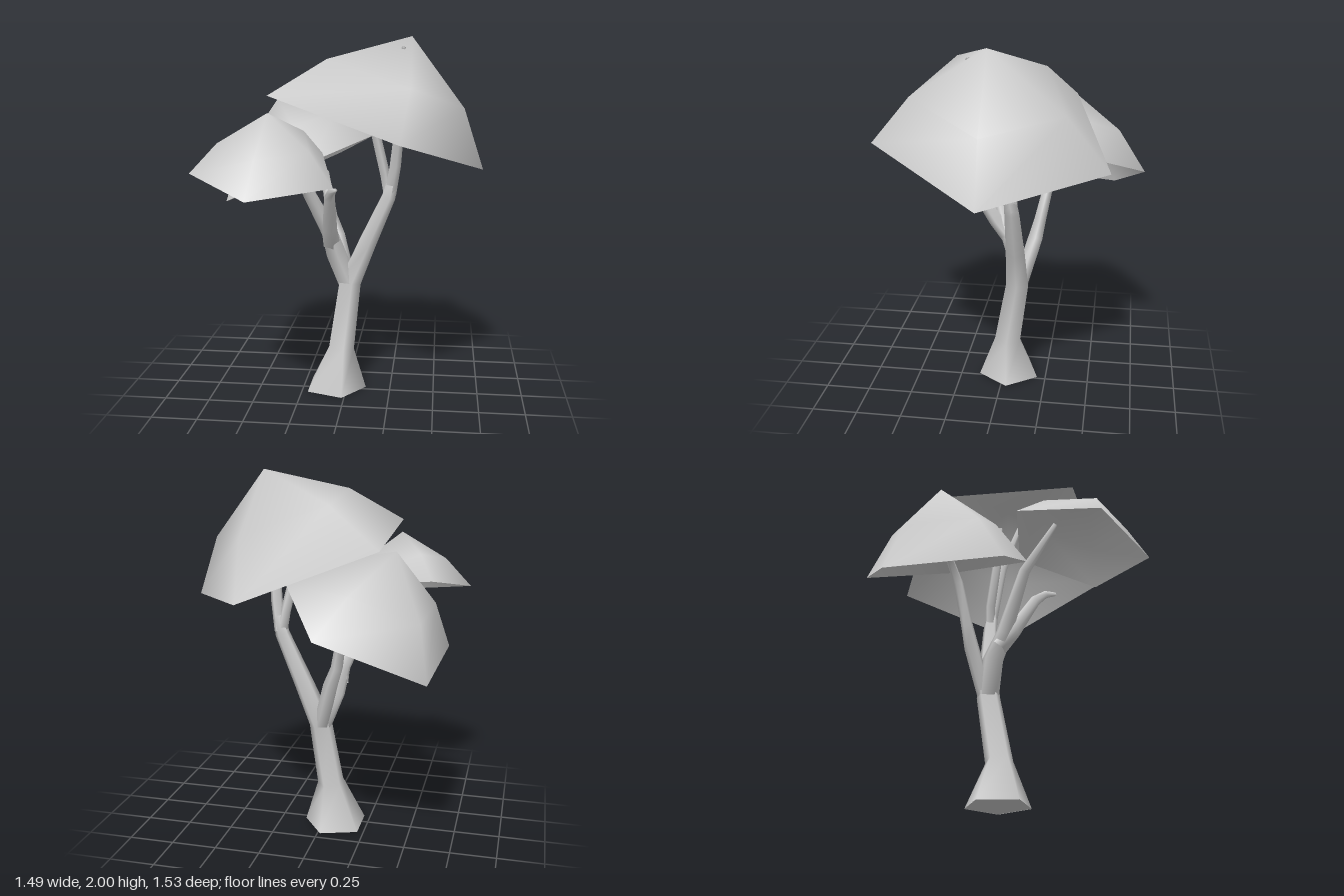
import * as THREE from 'three';

const V = (p) => new THREE.Vector3(p[0], p[1], p[2]);
const SIDES = 5;

function meshFrom(name, points, index) {
  const geo = new THREE.BufferGeometry().setFromPoints(points);
  geo.setIndex(index);
  geo.computeVertexNormals();
  const mat = new THREE.MeshStandardMaterial({ color: 0xcccccc, side: THREE.DoubleSide });
  const mesh = new THREE.Mesh(geo, mat);
  mesh.name = name;
  return mesh;
}

// Joins successive five-point rings into a skin, ending in a single tip point
function skin(rings, tip) {
  const points = rings.flat();
  const index = [];
  for (let r = 0; r < rings.length; r++) {
    for (let i = 0; i < SIDES; i++) {
      const a = r * SIDES + i, b = r * SIDES + (i + 1) % SIDES;
      if (r < rings.length - 1) index.push(a, b, b + SIDES, a, b + SIDES, a + SIDES);
      else index.push(a, b, points.length);
    }
  }
  return [[...points, tip], index];
}

// Open five-sided leaf dome: rim, one middle ring, apex
function canopy(name, rimPoints, apexPoint) {
  const rim = rimPoints.map(V);
  const apex = V(apexPoint);
  const center = new THREE.Vector3();
  rim.forEach((p) => center.addScaledVector(p, 1 / SIDES));
  const lift = apex.clone().sub(center).multiplyScalar(0.51);
  const ring = rim.map((p) => center.clone().lerp(p, 0.64).add(lift));
  return meshFrom(name, ...skin([rim, ring], apex));
}

// Tapered five-sided limb through stations [x, y, z, radius]
function limb(name, stations) {
  const pts = stations.map(V);
  const last = pts.length - 1;
  const rings = pts.map((p, i) => {
    const t = pts[Math.min(i + 1, last)].clone().sub(pts[Math.max(i - 1, 0)]).normalize();
    if (p.y === 0) t.set(0, 1, 0); // flat foot on the ground
    const u = new THREE.Vector3(1, 0, 0).addScaledVector(t, -t.x).normalize();
    const v = t.clone().cross(u);
    return Array.from({ length: SIDES }, (_, k) => {
      const a = (k / SIDES) * Math.PI * 2, r = stations[i][3];
      return p.clone().addScaledVector(u, r * Math.cos(a)).addScaledVector(v, r * Math.sin(a));
    });
  });
  return meshFrom(name, ...skin(rings, pts[last].clone()));
}

export function createModel() {
  const tree = new THREE.Group();
  tree.name = 'tree';

  // Trunk with flared foot, running on into the main limb
  tree.add(limb('trunk', [
    [-0.07, 0, -0.03, 0.18], [-0.036, 0.245, -0.025, 0.077], [0.008, 0.62, -0.085, 0.066],
    [0.105, 0.85, -0.085, 0.055], [0.225, 1.12, -0.08, 0.042], [0.25, 1.22, -0.07, 0.034],
  ]));
  const foot = new THREE.Mesh(
    new THREE.CircleGeometry(0.18, SIDES).rotateX(Math.PI / 2),
    new THREE.MeshStandardMaterial({ color: 0xcccccc }),
  );
  foot.name = 'trunkFoot';
  foot.position.set(-0.07, 0.001, -0.03);
  tree.add(foot);

  // Twigs carrying the large canopy
  tree.add(limb('largeCanopyTwig', [
    [0.235, 1.14, -0.08, 0.036], [0.262, 1.3, -0.055, 0.034],
    [0.288, 1.55, -0.01, 0.028], [0.31, 1.945, 0.13, 0.012],
  ]));
  tree.add(limb('largeCanopySideTwig', [
    [0.225, 1.14, -0.08, 0.03], [0.205, 1.25, -0.08, 0.029],
    [0.145, 1.52, -0.04, 0.027], [0.12, 1.74, -0.02, 0.012],
  ]));

  // Limb to the small front canopy, with its stub
  tree.add(limb('frontLimb', [
    [0.005, 0.6, -0.085, 0.058], [-0.07, 0.8, -0.06, 0.058], [-0.1, 0.94, 0, 0.046],
    [-0.235, 1.25, 0.11, 0.032], [-0.31, 1.5, 0.28, 0.014],
  ]));
  tree.add(limb('frontStub', [
    [-0.09, 0.86, -0.03, 0.05], [-0.09, 0.96, 0.05, 0.044], [-0.075, 1.15, 0.17, 0.032],
    [-0.055, 1.2, 0.23, 0.022], [-0.025, 1.218, 0.29, 0.01],
  ]));

  // Limb to the back canopy
  tree.add(limb('backLimb', [
    [0, 0.62, -0.1, 0.045], [-0.07, 0.87, -0.175, 0.042], [-0.11, 0.98, -0.2, 0.034],
    [-0.155, 1.22, -0.25, 0.027], [-0.25, 1.33, -0.3, 0.02], [-0.43, 1.4, -0.33, 0.01],
  ]));

  // Leaf canopies
  tree.add(canopy('largeCanopy', [
    [-0.36, 1.71, 0.38], [0.32, 1.5, 0.635], [0.74, 1.3, 0.03],
    [0.32, 1.385, -0.59], [-0.36, 1.64, -0.375],
  ], [0.35, 2, 0.03]));
  tree.add(canopy('smallFrontCanopy', [
    [-0.745, 1.325, 0.48], [-0.4, 1.24, 0.765], [-0.01, 1.27, 0.52],
    [-0.12, 1.385, 0.09], [-0.57, 1.42, 0.065],
  ], [-0.345, 1.63, 0.45]));
  tree.add(canopy('backCanopy', [
    [-0.68, 1.09, 0], [-0.19, 1.335, 0.13], [0.14, 1.445, -0.3],
    [-0.12, 1.27, -0.765], [-0.64, 1.045, -0.6],
  ], [-0.44, 1.64, -0.34]));

  return tree;
}
